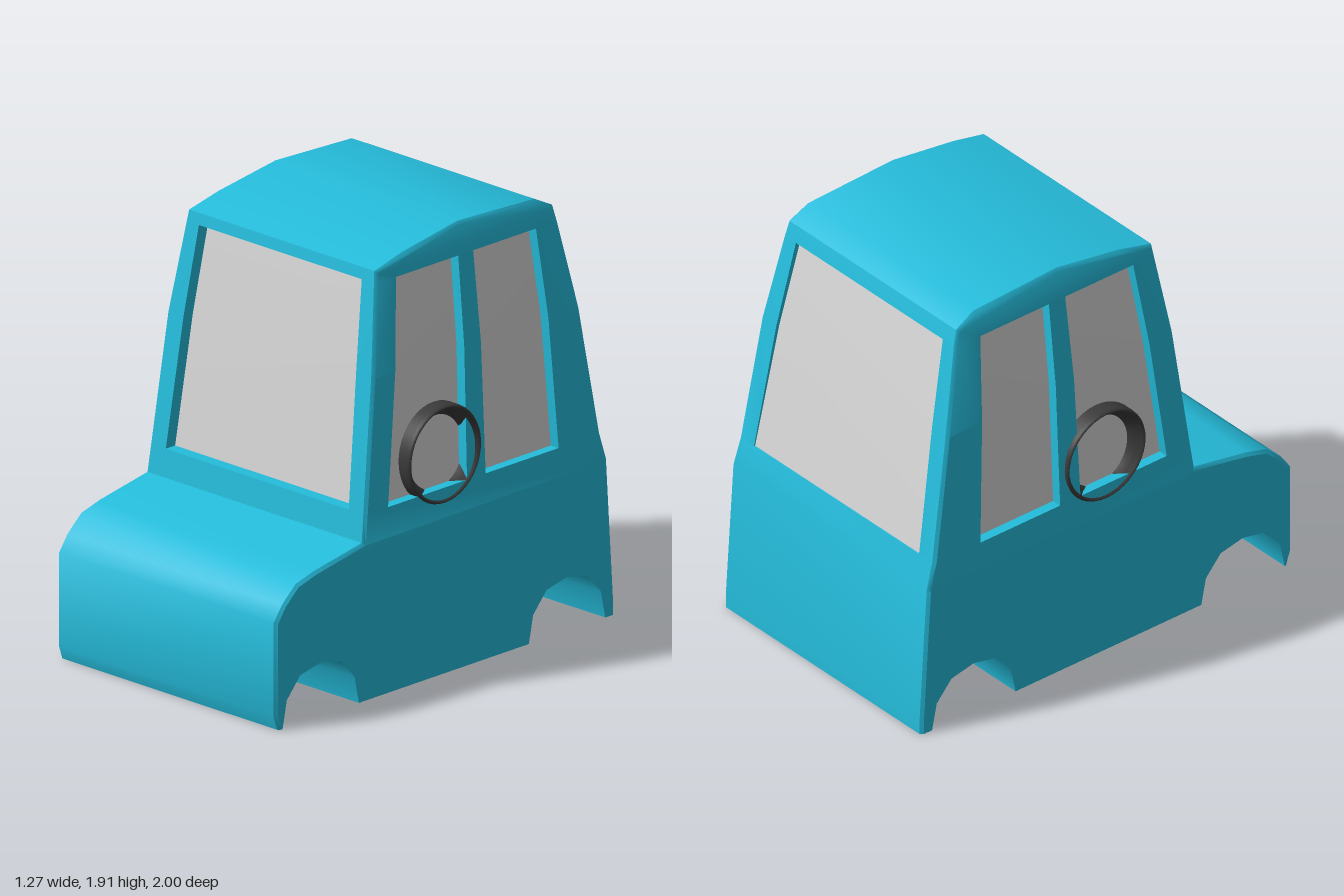
import * as THREE from 'three';
import { toCreasedNormals } from 'three/addons/utils/BufferGeometryUtils.js';

const V = (x, y, z) => new THREE.Vector3(x, y, z);
const BEVEL = 0.014;

const paint = new THREE.MeshStandardMaterial({ color: 0x25bddc, side: THREE.DoubleSide });
paint.name = 'body paint';
const glass = new THREE.MeshStandardMaterial({ color: 0xd6d6d6, side: THREE.DoubleSide });
glass.name = 'window glass';
const rubber = new THREE.MeshStandardMaterial({ color: 0x3a3a3a, side: THREE.DoubleSide });
rubber.name = 'wheel rubber';

// Upper outline as [z, y], from the front bumper over the roof to the tail
const outline = [
  [0.98, 0], [1, 0.06], [1, 0.47], [0.95, 0.54], [0.87, 0.61], [0.76, 0.64], [0.48, 0.69],
  [0.464, 0.81], [0.39, 1.38], [0.328, 1.77], [0.32, 1.82], [0.15, 1.86], [-0.18, 1.91],
  [-0.63, 1.89], [-0.73, 1.84], [-0.748, 1.77], [-0.83, 1.38], [-0.925, 0.81], [-0.96, 0.69],
  [-1, 0.06], [-1, 0],
];
const arch = (c) => [[-0.225, 0], [-0.2, 0.12], [-0.12, 0.21], [0, 0.235], [0.12, 0.21], [0.2, 0.12], [0.225, 0]]
  .map(([z, y]) => [c + z, y]);
const underside = [...arch(-0.717), ...arch(0.735)];

// Half-width of the body at height y
function halfWidth(y) {
  const k = [[0, 0.632], [0.69, 0.63], [1.38, 0.597], [1.92, 0.535]];
  let i = 0;
  while (i < 2 && y > k[i + 1][0]) i++;
  return THREE.MathUtils.mapLinear(y, k[i][0], k[i + 1][0], k[i][1], k[i + 1][1]);
}

// Outward normal of an outline segment
function segNormal(a, b) {
  const n = new THREE.Vector2(b[1] - a[1], a[0] - b[0]);
  return n.normalize();
}

// Outline moved inward, where the bevel meets the flat side
const inset = outline.map((p, i) => {
  const last = outline.length - 1;
  const n1 = segNormal(outline[Math.max(i - 1, 0)], outline[Math.max(i, 1)]);
  const n2 = segNormal(outline[Math.min(i, last - 1)], outline[Math.min(i + 1, last)]);
  const m = n1.clone().add(n2).normalize();
  m.multiplyScalar(BEVEL / m.dot(n1));
  return [p[0] - m.x, i === 0 || i === last ? 0 : p[1] - m.y];
});

// Adds a polygon to a triangle list, facing the given direction
function poly(list, pts, out) {
  const a = [Math.abs(out.x), Math.abs(out.y), Math.abs(out.z)];
  const drop = a.indexOf(Math.max(...a));
  const flat = pts.map((p) => {
    const c = p.toArray();
    c.splice(drop, 1);
    return new THREE.Vector2(c[0], c[1]);
  });
  const flipped = THREE.ShapeUtils.isClockWise(flat);
  if (flipped) { flat.reverse(); pts = [...pts].reverse(); }
  for (const [i, j, k] of THREE.ShapeUtils.triangulateShape(flat, [])) {
    const n = pts[j].clone().sub(pts[i]).cross(pts[k].clone().sub(pts[i]));
    list.push(...(n.dot(out) < 0 ? [pts[i], pts[k], pts[j]] : [pts[i], pts[j], pts[k]]));
  }
}

function toMesh(list, material, name) {
  const g = new THREE.BufferGeometry().setFromPoints(list);
  // enlarged while welding so the small bevel stays crisp
  g.scale(10, 10, 10);
  const smooth = toCreasedNormals(g, 0.7);
  smooth.scale(0.1, 0.1, 0.1);
  const mesh = new THREE.Mesh(smooth, material);
  mesh.name = name;
  return mesh;
}

// Recessed pane: rows of [left, right] corners from bottom to top
function addWindow(group, body, rows, recess, out, name) {
  const [b, m, t] = rows;
  const ring = [b[0], b[1], m[1], t[1], t[0], m[0]];
  const centre = m[0].clone().add(m[1]).multiplyScalar(0.5);
  const deep = (p) => p.clone().addScaledVector(out, -recess(p.y));
  ring.forEach((p, i) => {
    const q = ring[(i + 1) % 6];
    const inward = centre.clone().sub(p.clone().add(q).multiplyScalar(0.5));
    const n = q.clone().sub(p).cross(out).normalize();
    if (n.dot(inward) < 0) n.negate();
    poly(body, [p, q, deep(q), deep(p)], n);
  });
  const pane = [];
  for (const [lo, hi] of [[b, m], [m, t]]) poly(pane, [lo[0], lo[1], hi[1], hi[0]].map(deep), out);
  group.add(toMesh(pane, glass, name));
}

export function createModel() {
  const model = new THREE.Group();
  model.name = 'car';
  const body = [];
  const skinX = (y) => halfWidth(y) - 0.012;
  const paneX = { 0.81: 0.528, 1.38: 0.498, 1.77: 0.47 };

  // Bonnet, roof and tail skin, leaving the front and rear windows open
  for (let i = 0; i < outline.length - 1; i++) {
    const [a, b] = [outline[i], outline[i + 1]];
    const n = segNormal(a, b);
    const out = V(0, n.y, n.x);
    const strip = (xa0, xa1, xb0, xb1) =>
      poly(body, [V(xa0, a[1], a[0]), V(xa1, a[1], a[0]), V(xb1, b[1], b[0]), V(xb0, b[1], b[0])], out);
    const [wa, wb] = [skinX(a[1]), skinX(b[1])];
    if (paneX[a[1]] && paneX[b[1]]) {
      for (const s of [-1, 1]) strip(s * paneX[a[1]], s * wa, s * paneX[b[1]], s * wb);
    } else strip(-wa, wa, -wb, wb);
    // Bevel between skin and sides
    for (const s of [-1, 1]) {
      const [c, d] = [inset[i], inset[i + 1]];
      poly(body, [V(s * wa, a[1], a[0]), V(s * wb, b[1], b[0]),
        V(s * halfWidth(d[1]), d[1], d[0]), V(s * halfWidth(c[1]), c[1], c[0])], V(s * 0.6, n.y, n.x));
    }
  }

  // Floor and wheel arches, running the full width
  const under = [inset[20], ...underside, inset[0]];
  for (let i = 0; i < under.length - 1; i++) {
    const [a, b] = [under[i], under[i + 1]];
    const n = segNormal(a, b);
    const [wa, wb] = [halfWidth(a[1]), halfWidth(b[1])];
    poly(body, [V(-wa, a[1], a[0]), V(wa, a[1], a[0]), V(wb, b[1], b[0]), V(-wb, b[1], b[0])], V(0, n.y, n.x));
  }

  // Front and rear windows
  const endRows = (ids) => ids.map((i) => {
    const [z, y] = outline[i];
    return [V(-paneX[y], y, z), V(paneX[y], y, z)];
  });
  addWindow(model, body, endRows([7, 8, 9]), () => 0.055, V(0, 0, 1), 'windscreen');
  addWindow(model, body, endRows([17, 16, 15]), (y) => 0.006 + 0.018 * (y - 0.81), V(0, 0, -1), 'rearWindow');

  // Side window edges along z at three heights
  const levels = [0.81, 1.38, 1.77];
  const edges = [[0.33, 0.26, 0.21], [-0.135, -0.147, -0.157], [-0.245, -0.245, -0.245], [-0.675, -0.643, -0.615]];
  const at = (e, r) => [edges[e][r], levels[r]];
  const rowEnds = [[7, 17], [8, 16], [9, 15]];

  for (const s of [-1, 1]) {
    const out = V(s, 0, 0);
    const point = ([z, y]) => V(s * halfWidth(y), y, z);
    const panel = (pts) => poly(body, pts.map(point), out);
    // Lower side, sill, pillars and roof edge
    panel([...inset.slice(0, 7), ...inset.slice(18), ...underside]);
    panel([inset[6], inset[7], at(0, 0), at(1, 0), at(2, 0), at(3, 0), inset[17], inset[18]]);
    for (let r = 0; r < 2; r++) {
      const [f0, b0] = rowEnds[r];
      const [f1, b1] = rowEnds[r + 1];
      panel([inset[f0], at(0, r), at(0, r + 1), inset[f1]]);
      panel([at(1, r), at(2, r), at(2, r + 1), at(1, r + 1)]);
      panel([at(3, r), inset[b0], inset[b1], at(3, r + 1)]);
    }
    panel([...inset.slice(9, 16), at(3, 2), at(2, 2), at(1, 2), at(0, 2)]);

    const side = s > 0 ? 'left' : 'right';
    [[0, 'FrontWindow'], [2, 'RearWindow']].forEach(([e, name]) => {
      const rows = levels.map((_, r) => [point(at(e, r)), point(at(e + 1, r))]);
      addWindow(model, body, rows, () => 0.045, out, side + name);
    });

    // Wheel ring set into the side
    const section = [[0.215, 0.52], [0.215, 0.612], [0.213, 0.626], [0.208, 0.634], [0.203, 0.634],
      [0.197, 0.626], [0.185, 0.61], [0.167, 0.588], [0.153, 0.555]];
    const ring = new THREE.LatheGeometry(section.map(([r, h]) => new THREE.Vector2(r, h)), 40);
    ring.rotateZ(-s * Math.PI / 2);
    const wheel = new THREE.Mesh(ring, rubber);
    wheel.position.set(0, 0.957, 0);
    wheel.name = side + 'Wheel';
    model.add(wheel);
  }

  model.add(toMesh(body, paint, 'body'));
  return model;
}
